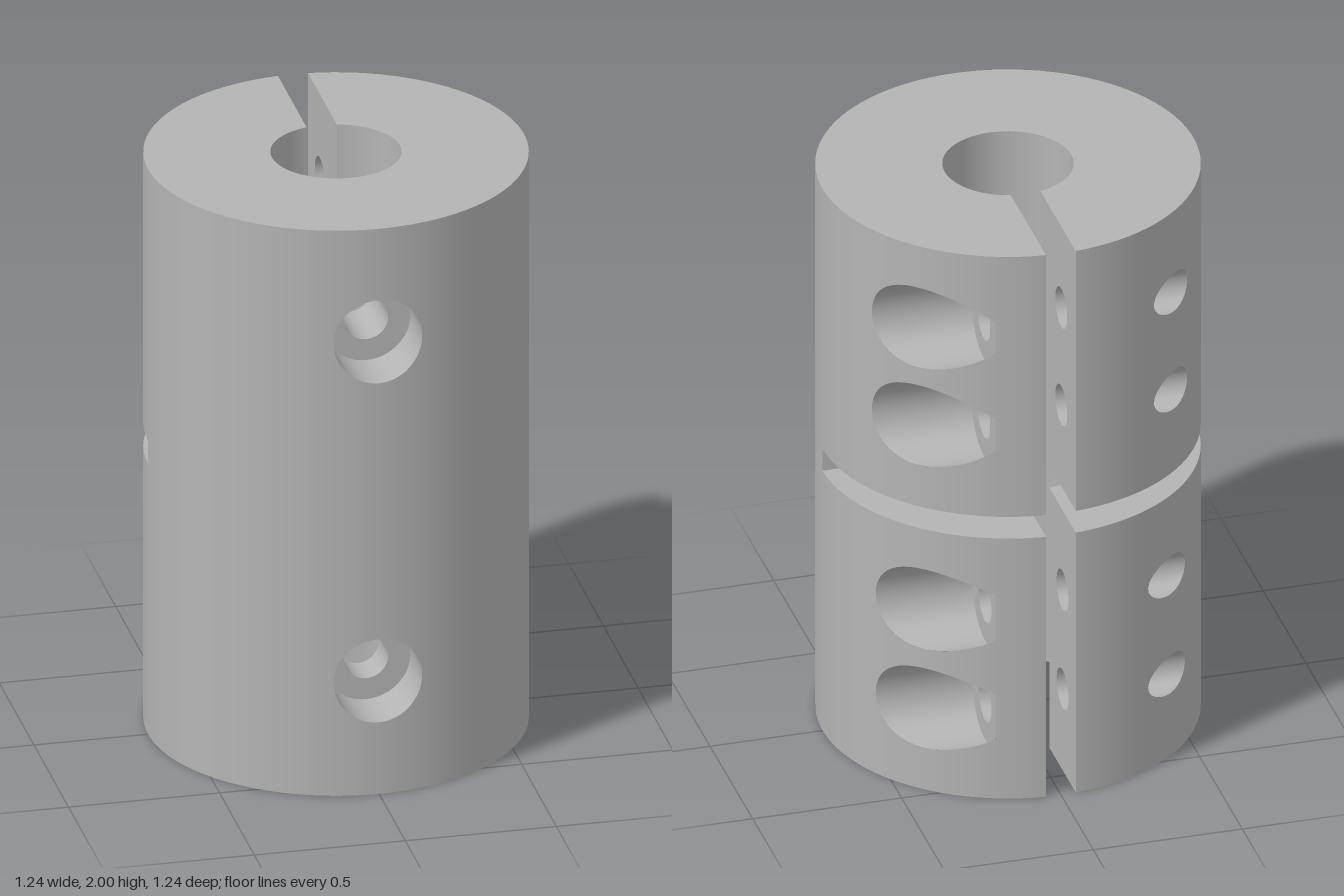
import * as THREE from 'three';

const R = 0.622, TOP = 2, SLOT = 0.05, SLIT = 0.04, MID = 1;
const BORE_TOP = 0.212, BORE_LOW = 0.314;
const FLOOR_X = 0.21, FLOOR_Z = 0.435;          // counterbore floors
const BIG = 0.147, CLEAR = 0.075, TAPPED = 0.07, FRONT = 0.073;
const CLIP = -Math.sqrt(R * R - FLOOR_X * FLOOR_X);
const SEG = 48;
const SCREWS = [[1.70, -0.45], [1.34, -0.45], [0.665, -0.465], [0.30, -0.465]];
const FRONT_Y = [1.6, 0.4];

const V = (x, y, z) => new THREE.Vector3(x, y, z);
const arc = (r, v) => Math.sqrt(Math.max(0, r * r - v * v));
const slotAngle = r => Math.PI - Math.asin(SLOT / r);
const polar = (r, t, y) => V(r * Math.sin(t), y, r * Math.cos(t));
const range = (a, b, n) => Array.from({ length: n + 1 }, (_, i) => a + (b - a) * i / n);
const sorted = list => list.sort((a, b) => a - b).filter((v, i, l) => !i || v - l[i - 1] > 1e-6);
// Positions across a circular hole, spaced evenly by angle
const across = (c, r) => range(0, Math.PI, SEG / 2).map(a => c + r * Math.cos(a));

export function createModel() {
  const model = new THREE.Group();
  model.name = 'clampingShaftCoupling';
  const steel = new THREE.MeshStandardMaterial({ color: 0xb4b4b4 });
  steel.name = 'plain steel grey';

  // Mesh from quads, each wound to agree with the given surface normal
  function skin(name, quads, normalAt) {
    const pos = [], nor = [];
    for (const [a, b, c, d] of quads) {
      for (const tri of [[a, b, c], [a, c, d]]) {
        const n = tri[1].clone().sub(tri[0]).cross(tri[2].clone().sub(tri[0]));
        if (n.length() < 1e-10) continue;
        const centre = tri[0].clone().add(tri[1]).add(tri[2]).divideScalar(3);
        if (n.dot(normalAt(centre)) < 0) tri.reverse();
        for (const p of tri) {
          pos.push(p.x, p.y, p.z);
          nor.push(...normalAt(p).normalize().toArray());
        }
      }
    }
    const g = new THREE.BufferGeometry();
    g.setAttribute('position', new THREE.Float32BufferAttribute(pos, 3));
    g.setAttribute('normal', new THREE.Float32BufferAttribute(nor, 3));
    const mesh = new THREE.Mesh(g, steel);
    mesh.name = name;
    model.add(mesh);
  }

  // Upright strips between y0 and y1, broken wherever a hole crosses them
  function panel(us, y0, y1, holes, at) {
    const quads = [];
    for (let i = 0; i < us.length - 1; i++) {
      const a = us[i], b = us[i + 1], mid = at((a + b) / 2, 0);
      const A = at(a, 0), B = at(b, 0);
      const cuts = holes.filter(h => h.covers(mid)).sort((p, q) => p.y - q.y);
      let low = [y0, y0];
      const fill = (ha, hb) => {
        ha = Math.min(ha, y1); hb = Math.min(hb, y1);
        if (ha > low[0] + 1e-7 || hb > low[1] + 1e-7)
          quads.push([at(a, low[0]), at(b, low[1]), at(b, hb), at(a, ha)]);
      };
      for (const h of cuts) {
        fill(h.y - h.half(A), h.y - h.half(B));
        low = [h.y + h.half(A), h.y + h.half(B)];
      }
      fill(y1, y1);
    }
    return quads;
  }
  const hole = (y, axis, c, r, test) => ({
    y, half: p => arc(r, p[axis] - c), covers: p => test(p) && Math.abs(p[axis] - c) < r
  });
  const slit = { y: MID, half: () => SLIT, covers: p => p.z < -1e-6 };

  // Quads between two closed loops
  const loft = (f, g) => range(0, 2 * Math.PI, SEG).slice(0, -1).map(a => {
    const b = a + 2 * Math.PI / SEG;
    return [f(a), f(b), g(b), g(a)];
  });

  // Outer cylinder with every hole mouth
  const outerHoles = [slit], end = slotAngle(R);
  const outerUs = [...range(-end, end, 96), -Math.PI / 2, Math.PI / 2];
  for (const [y, z] of SCREWS) {
    outerHoles.push(hole(y, 'z', z, BIG, p => p.x > FLOOR_X), hole(y, 'z', z, TAPPED, p => p.x < 0));
    outerUs.push(...[...across(z, BIG).filter(v => v > CLIP), CLIP].map(v => Math.acos(v / R)));
    outerUs.push(...across(z, TAPPED).map(v => -Math.acos(v / R)));
  }
  for (const y of FRONT_Y) outerHoles.push(hole(y, 'x', 0, BIG, p => p.z > 0));
  outerUs.push(...across(0, BIG).map(v => Math.asin(v / R)));
  skin('outerCylinder', panel(sorted(outerUs), 0, TOP, outerHoles, (t, y) => polar(R, t, y)),
    p => V(p.x, 0, p.z));

  // Flat C-shaped ring, sides closing on the slot or on a given angle
  const ring = (name, r0, r1, y, up, start, stop = slotAngle) => {
    const quads = [];
    for (const s of [-1, 1]) for (let i = 0; i < SEG; i++) {
      const p = (r, k) => polar(r, s * (start + (stop(r) - start) * k / SEG), y);
      quads.push([p(r0, i), p(r1, i), p(r1, i + 1), p(r0, i + 1)]);
    }
    skin(name, quads, () => V(0, up, 0));
  };
  const quarter = Math.PI / 2;
  ring('topFace', BORE_TOP, R, TOP, 1, 0);
  ring('bottomFace', BORE_LOW, R, 0, -1, 0);
  ring('slitCeiling', BORE_TOP, R, MID + SLIT, -1, quarter);
  ring('slitFloor', BORE_LOW, R, MID - SLIT, 1, quarter);
  ring('boreStep', BORE_TOP, BORE_LOW, MID, -1, 0, () => quarter);

  // Upper and lower halves: bore, slot walls and slit end walls
  const halves = [
    { name: 'upper', r: BORE_TOP, y0: MID, y1: TOP, wall: [MID + SLIT, TOP], step: [MID, MID + SLIT] },
    { name: 'lower', r: BORE_LOW, y0: 0, y1: MID, wall: [0, MID - SLIT], step: [MID - SLIT, MID] }
  ];
  for (const { name, r, y0, y1, wall, step } of halves) {
    const inside = y => y > y0 && y < y1;
    const e = slotAngle(r);
    const us = sorted([...range(-e, e, 72), -quarter, quarter,
      ...across(0, FRONT).map(v => Math.asin(v / r))]);
    const setHoles = FRONT_Y.filter(inside).map(y => hole(y, 'x', 0, FRONT, p => p.z > 0));
    skin(name + 'Bore', panel(us, y0, y1, [slit, ...setHoles], (t, y) => polar(r, t, y)),
      p => V(-p.x, 0, -p.z));

    const screws = SCREWS.filter(s => inside(s[0]));
    for (const s of [-1, 1]) {
      const rad = s > 0 ? CLEAR : TAPPED;
      const zs = sorted([-arc(R, SLOT), -arc(r, SLOT), ...screws.flatMap(([, z]) => across(z, rad))]);
      skin(name + 'SlotWall', panel(zs, ...wall, screws.map(([y, z]) => hole(y, 'z', z, rad, () => true)),
        (z, y) => V(s * SLOT, y, z)), () => V(-s, 0, 0));
      skin(name + 'SlitEnd', [[V(s * r, step[0], 0), V(s * R, step[0], 0),
        V(s * R, step[1], 0), V(s * r, step[1], 0)]], () => V(0, 0, -1));
    }
  }

  // Clamp screw holes: counterbore and clearance on one side, tapped on the other
  for (const [y, z] of SCREWS) {
    const loop = (r, xAt) => a => {
      const pz = z + r * Math.cos(a);
      return V(xAt(pz), y + r * Math.sin(a), pz);
    };
    const inward = p => V(0, y - p.y, z - p.z);
    const rim = a => {
      const p = loop(BIG, () => FLOOR_X)(a);
      p.z = Math.max(p.z, CLIP);
      return p;
    };
    skin('screwCounterbore', loft(rim, a => {
      const p = rim(a);
      return p.setX(Math.max(FLOOR_X, arc(R, p.z)));
    }).filter(q => q.some(p => p.z > CLIP + 1e-6)), inward);
    skin('screwSeat', loft(loop(CLEAR, () => FLOOR_X), rim), () => V(1, 0, 0));
    skin('screwClearanceHole', loft(loop(CLEAR, () => SLOT), loop(CLEAR, () => FLOOR_X)), inward);
    skin('screwTappedHole', loft(loop(TAPPED, () => -SLOT), loop(TAPPED, v => -arc(R, v))), inward);
  }

  // Front set screw holes, opening into the bore
  for (const y of FRONT_Y) {
    const bore = y > MID ? BORE_TOP : BORE_LOW;
    const loop = (r, zAt) => a => {
      const px = r * Math.cos(a);
      return V(px, y + r * Math.sin(a), zAt(px));
    };
    const inward = p => V(-p.x, y - p.y, 0);
    skin('frontCounterbore', loft(loop(BIG, () => FLOOR_Z), loop(BIG, v => arc(R, v))), inward);
    skin('frontSeat', loft(loop(FRONT, () => FLOOR_Z), loop(BIG, () => FLOOR_Z)), () => V(0, 0, 1));
    skin('frontHole', loft(loop(FRONT, v => arc(bore, v)), loop(FRONT, () => FLOOR_Z)), inward);
  }
  return model;
}
